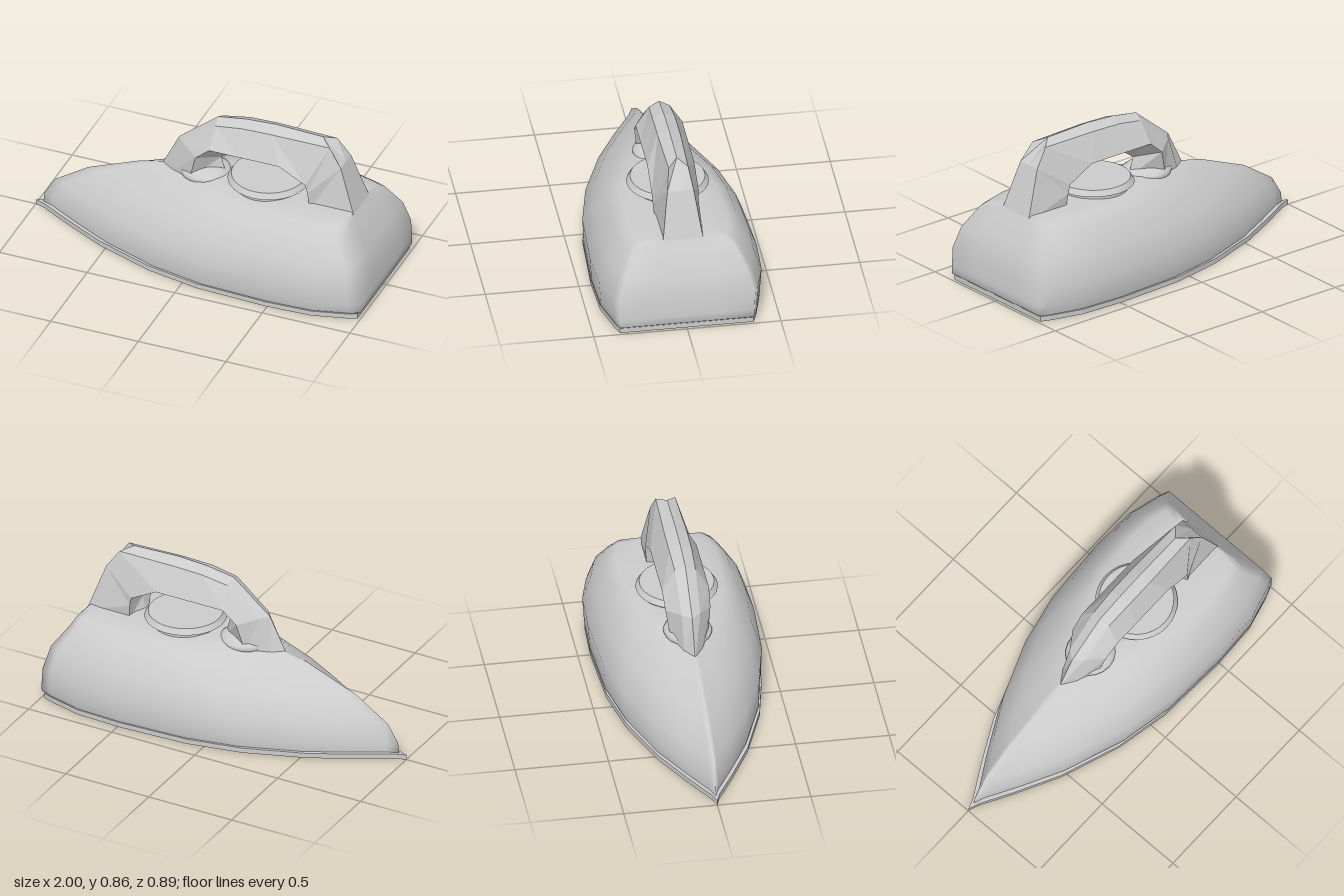
import * as THREE from 'three';

const grey = (extra = {}) => new THREE.MeshStandardMaterial({ color: 0xcccccc, ...extra });

// Skin a list of closed rings; optionally fan-cap the last one.
function loft(rings, cap) {
  const n = rings[0].length;
  const pos = rings.flat(2);
  const index = [];
  for (let r = 0; r < rings.length - 1; r++) {
    for (let j = 0; j < n; j++) {
      const a = r * n + j, b = r * n + (j + 1) % n;
      index.push(a, b, b + n, a, b + n, a + n);
    }
  }
  if (cap) {
    const last = (rings.length - 1) * n;
    const mid = pos.length / 3;
    const p = rings[rings.length - 1];
    pos.push((p[0][0] + p[n / 2][0]) / 2, p[0][1], 0);
    for (let j = 0; j < n; j++) index.push(mid, last + j, last + (j + 1) % n);
  }
  const g = new THREE.BufferGeometry();
  g.setAttribute('position', new THREE.Float32BufferAttribute(pos, 3));
  g.setIndex(index);
  g.computeVertexNormals();
  return g;
}

// Half outline of the iron: fraction of length, fraction of half width.
const OUTLINE = [[0, 0], [0.03, 0.05], [0.12, 0.28], [0.235, 0.55], [0.4, 0.82], [0.55, 0.955],
  [0.75, 1], [0.88, 0.975], [0.97, 0.87], [1, 0.82], [1, 0.4], [1, 0]];

function outlineRing(y, nose, rear, width) {
  const side = OUTLINE.map(([u, w]) => [nose + (rear - nose) * u, y, width * w]);
  const back = side.slice(1, -1).reverse().map(([x, h, z]) => [x, h, -z]);
  return [...side, ...back];
}

export function createModel() {
  const group = new THREE.Group();
  const add = (name, geometry, material = grey()) => {
    const mesh = new THREE.Mesh(geometry, material);
    mesh.name = name;
    group.add(mesh);
    return mesh;
  };

  // Flat sole plate
  const shape = new THREE.Shape(
    outlineRing(0, -1, 0.985, 0.435).map(([x, , z]) => new THREE.Vector2(x, -z)));
  const sole = new THREE.ExtrudeGeometry(shape, { depth: 0.028, bevelEnabled: false });
  sole.rotateX(-Math.PI / 2);
  add('solePlate', sole);

  // Smooth body stacked from outlines: height, nose x, rear x, half width
  const layers = [
    [0.025, -0.955, 0.98, 0.425], [0.04, -0.955, 1, 0.435], [0.085, -0.95, 1, 0.437],
    [0.185, -0.89, 0.99, 0.445], [0.31, -0.7, 0.96, 0.4], [0.425, -0.41, 0.88, 0.33],
    [0.468, -0.23, 0.86, 0.27], [0.485, -0.15, 0.84, 0.16],
  ];
  add('body', loft(layers.map((l) => outlineRing(...l)), true));

  // Swelling of the body under the front foot of the handle
  const mound = new THREE.SphereGeometry(1, 20, 10);
  mound.scale(0.14, 0.05, 0.13);
  add('handleMound', mound).position.set(-0.03, 0.47, 0);

  // Faceted handle. Each station: ridge x,y / shoulder x,y,z / inner edge x,y,z / inner middle x,y
  const stations = [
    [-0.28, 0.44, -0.21, 0.44, 0.045, -0.08, 0.46, 0.1, 0.09, 0.46],
    [-0.18, 0.64, -0.14, 0.64, 0.05, -0.04, 0.61, 0.12, 0.06, 0.57],
    [0.04, 0.82, 0.05, 0.795, 0.055, 0.04, 0.68, 0.125, 0.18, 0.655],
    [0.2, 0.845, 0.2, 0.82, 0.06, 0.2, 0.68, 0.125, 0.22, 0.675],
    [0.37, 0.855, 0.37, 0.825, 0.06, 0.44, 0.68, 0.125, 0.44, 0.68],
    [0.64, 0.845, 0.7, 0.82, 0.052, 0.59, 0.6, 0.125, 0.58, 0.6],
    [0.77, 0.72, 0.77, 0.72, 0.07, 0.6, 0.55, 0.122, 0.59, 0.55],
    [0.865, 0.45, 0.865, 0.45, 0.11, 0.61, 0.45, 0.112, 0.56, 0.45],
  ];
  const handleRings = stations.map(([rx, ry, sx, sy, sz, ix, iy, iz, mx, my]) => [
    [rx, ry, 0], [sx, sy, sz], [ix, iy, iz], [mx, my, 0], [ix, iy, -iz], [sx, sy, -sz],
  ]);
  add('handle', loft(handleRings, false), grey({ flatShading: true }));

  // Temperature dial: stem and flared rim
  add('dialStem', new THREE.CylinderGeometry(0.188, 0.188, 0.07, 32)).position.set(0.33, 0.477, 0);
  add('dialRim', new THREE.CylinderGeometry(0.198, 0.218, 0.03, 32)).position.set(0.33, 0.524, 0);

  return group;
}
